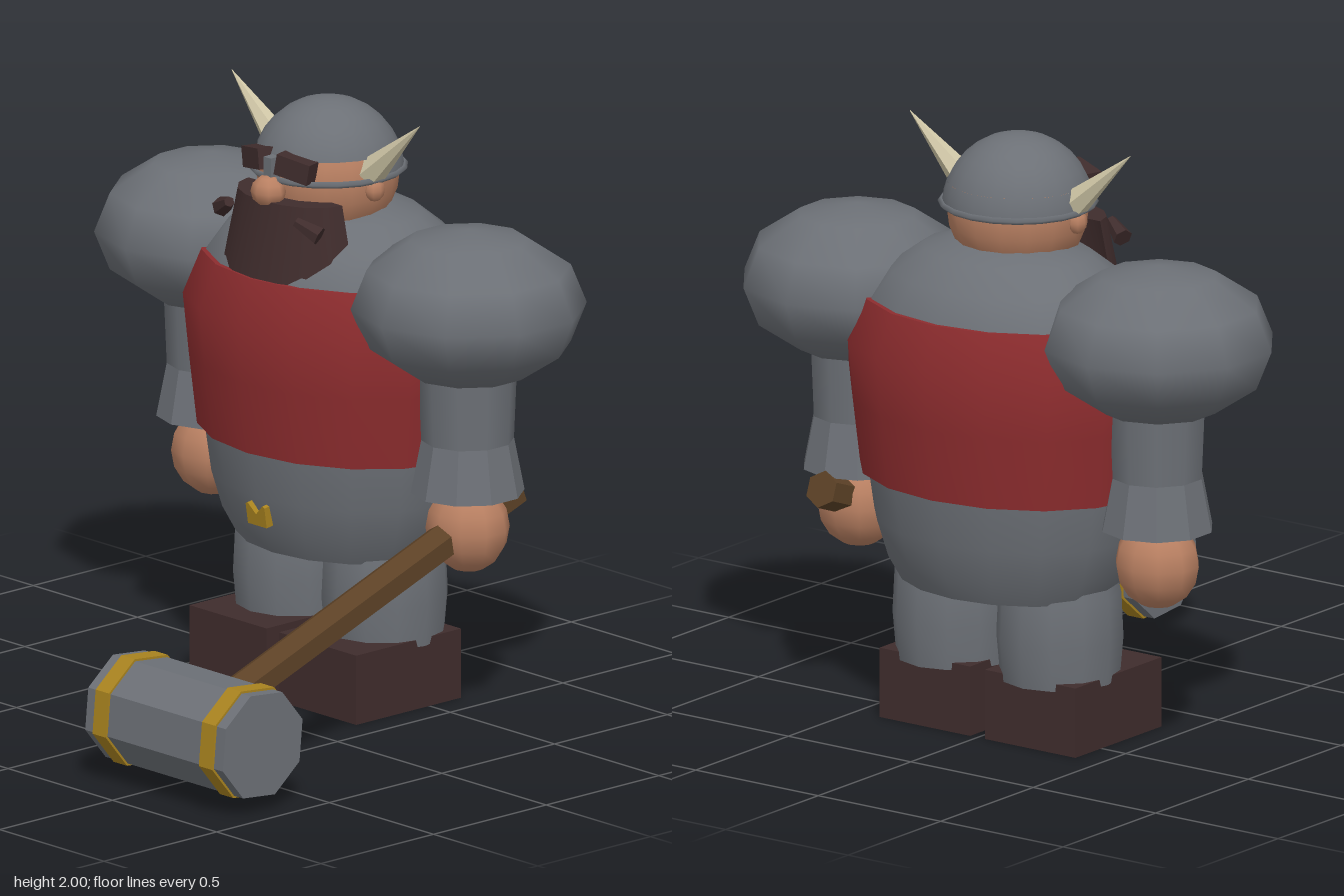
import * as THREE from 'three';
import { toCreasedNormals } from 'three/addons/utils/BufferGeometryUtils.js';

export function createModel() {
  const root = new THREE.Group();
  root.name = 'hammerWarrior';
  const Z = -0.475; // depth of the body's axis
  const HZ = -0.42; // depth of the head's axis

  const material = (name, color, options = {}) => {
    const m = new THREE.MeshStandardMaterial({ color, ...options });
    m.name = name;
    return m;
  };
  const grey = material('steelGrey', 0x6c7076, { side: THREE.DoubleSide });
  const red = material('vestRed', 0x8c2c2e, { side: THREE.DoubleSide });
  const skin = material('skin', 0xb98062);
  const dark = material('darkBrown', 0x3f2c2c, { side: THREE.DoubleSide });
  const gold = material('gold', 0xa9831f);
  const wood = material('wood', 0x5c4126);
  const bone = material('bone', 0xcfc6a6);

  const add = (name, geometry, mat, x = 0, y = 0, z = 0) => {
    const mesh = new THREE.Mesh(geometry, mat);
    mesh.name = name;
    mesh.position.set(x, y, z);
    root.add(mesh);
    return mesh;
  };
  const crease = (g, angle = 0.9) => toCreasedNormals(g, angle);
  const flat = (g) => crease(g, 0.05);
  const lathe = (points, sides, depth = 1) => {
    const g = new THREE.LatheGeometry(points.map(([r, y]) => new THREE.Vector2(r, y)), sides);
    return crease(g.scale(1, 1, depth));
  };
  const ball = (rx, ry, rz, w, h) => {
    // a vertex column faces +z and -z
    const g = new THREE.SphereGeometry(1, w, h).rotateY(-Math.PI / 2);
    return g.scale(rx, ry, rz);
  };
  // tapered rod from point a to point b
  const rod = (name, a, b, ra, rb, sides, mat) => {
    const from = new THREE.Vector3(...a), to = new THREE.Vector3(...b);
    const dir = to.clone().sub(from);
    const mesh = add(name, flat(new THREE.CylinderGeometry(rb, ra, dir.length(), sides)), mat);
    mesh.position.copy(from).add(to).multiplyScalar(0.5);
    mesh.quaternion.setFromUnitVectors(new THREE.Vector3(0, 1, 0), dir.normalize());
    return mesh;
  };

  // Torso and vest
  add('torso', lathe([[0, 0.5], [0.385, 0.5], [0.435, 0.58], [0.475, 0.7], [0.5, 0.86],
    [0.53, 1.15], [0.54, 1.3], [0.495, 1.45], [0.42, 1.54], [0.3, 1.62], [0.15, 1.66], [0, 1.66]],
    16, 0.78), grey, 0, 0, Z);
  add('vest', lathe([[0.5, 0.86], [0.525, 0.86], [0.555, 1.1], [0.577, 1.3], [0.51, 1.45], [0.48, 1.45]],
    16, 0.79), red, 0, 0, Z);

  // Notched belt buckle
  const buckle = new THREE.Shape([[-0.045, -0.04], [0.045, -0.04], [0.045, 0.03], [0.035, 0.035],
    [0, 0], [-0.035, 0.035], [-0.045, 0.03]].map((p) => new THREE.Vector2(...p)));
  add('beltBuckle', new THREE.ExtrudeGeometry(buckle, { depth: 0.04, bevelEnabled: false }),
    gold, 0, 0.65, -0.14).rotation.x = 0.15;

  // Limbs, mirrored left and right
  for (const s of [1, -1]) {
    const side = s > 0 ? 'left' : 'right';
    add(side + 'Leg', lathe([[0, 0.21], [0.195, 0.21], [0.207, 0.35], [0.2, 0.5], [0.17, 0.62]], 12, 1.03),
      grey, s * 0.212, 0, Z);
    add(side + 'Boot', new THREE.BoxGeometry(0.37, 0.235, 0.465), dark, s * 0.215, 0.1175, -0.4075);
    add(side + 'Shoulder', ball(0.39, 0.26, 0.386, 10, 6), grey, s * 0.615, 1.41, Z);
    add(side + 'Arm', new THREE.CylinderGeometry(0.165, 0.15, 0.36, 10), grey, s * 0.61, 1.08, Z);
    add(side + 'Cuff', flat(new THREE.CylinderGeometry(0.15, 0.187, 0.19, 10)), grey, s * 0.61, 0.875, Z);
    add(side + 'Hand', ball(0.145, 0.15, 0.134, 10, 8), skin, s * 0.61, 0.66, Z);
  }

  // Head and face
  add('head', ball(0.235, 0.235, 0.235, 16, 12), skin, 0, 1.755, HZ);
  add('nose', ball(0.062, 0.055, 0.055, 8, 6), skin, 0, 1.73, -0.155);
  const half = new THREE.CylinderGeometry(0.225, 0.285, 0.26, 8, 1, false, -Math.PI / 2, Math.PI);
  add('beard', crease(half.scale(1, 1, 0.68), 0.7), dark, 0, 1.575, -0.275);
  for (const s of [1, -1]) {
    const side = s > 0 ? 'left' : 'right';
    add(side + 'Ear', ball(0.03, 0.04, 0.037, 8, 6), skin, s * 0.235, 1.735, -0.41);
    add(side + 'Eyebrow', new THREE.BoxGeometry(0.125, 0.07, 0.06), dark, s * 0.09, 1.82, -0.195)
      .rotation.set(0, s * 0.3, -s * 0.18);
    rod(side + 'MoustacheTip', [s * 0.16, 1.665, -0.13], [s * 0.235, 1.625, -0.165], 0.018, 0.033, 6, dark);
    rod(side + 'Horn', [s * 0.215, 1.79, -0.41], [s * 0.45, 1.995, -0.41], 0.052, 0.001, 6, bone);
  }

  // Helmet: dome, lower back half, rim and nose guard
  add('helmetDome', new THREE.SphereGeometry(0.25, 20, 6, 0, Math.PI * 2, 0, 1.2), grey, 0, 1.75, HZ);
  add('helmetBack', new THREE.SphereGeometry(0.25, 12, 2, Math.PI, Math.PI, 1.2, 0.31), grey, 0, 1.75, HZ);
  add('helmetRim', new THREE.TorusGeometry(0.252, 0.011, 4, 20).rotateX(Math.PI / 2), grey, 0, 1.77, HZ);
  add('noseGuard', new THREE.BoxGeometry(0.035, 0.08, 0.05), grey, 0, 1.805, -0.175);

  // Hammer: handle, octagonal head and two bands
  rod('hammerHandle', [0.607, 0.225, 0.735], [0.607, 0.745, -0.68], 0.062, 0.062, 6, wood);
  const octagon = (r, length) => flat(new THREE.CylinderGeometry(r, r, length, 8, 1, false, 28 * Math.PI / 180)
    .rotateZ(Math.PI / 2));
  add('hammerHead', octagon(0.185, 0.66), grey, 0.607, 0.228, 0.737);
  for (const x of [0.352, 0.862]) add('hammerBand', octagon(0.193, 0.064), gold, x, 0.228, 0.737);

  return root;
}
